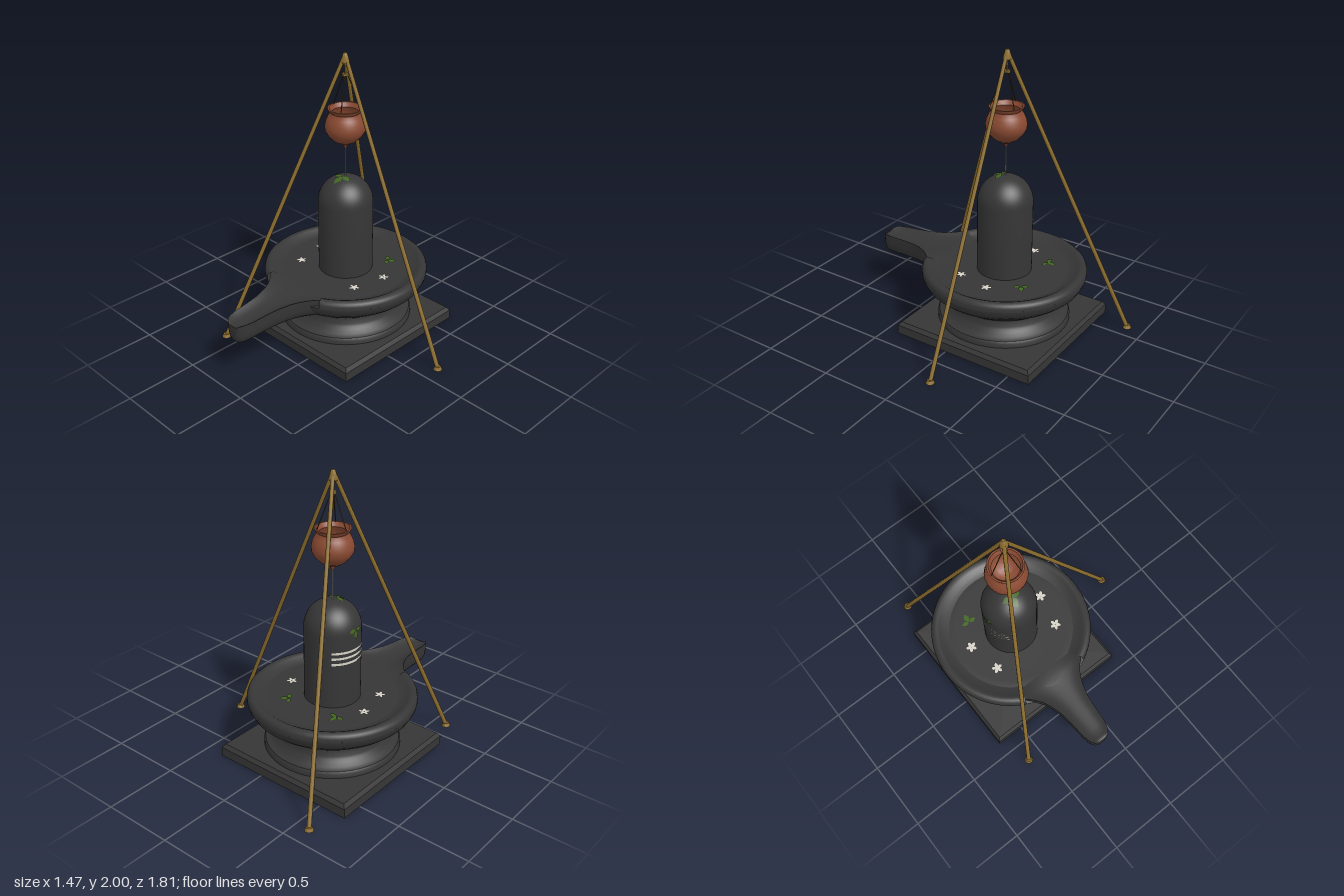
import * as THREE from 'three';
import { toCreasedNormals } from 'three/addons/utils/BufferGeometryUtils.js';

const mat = (name, color, extra = {}) => {
  const m = new THREE.MeshStandardMaterial({ color, ...extra });
  m.name = name;
  return m;
};
const DS = { side: THREE.DoubleSide };

export function createModel() {
  const stone = mat('dark stone', 0x363636, DS);
  const clay = mat('terracotta', 0x8a4a32);
  const brass = mat('brass', 0x8c6d2e);
  const rope = mat('rope', 0x4a3a22);
  const water = mat('water', 0xa4abb0);
  const leafGreen = mat('leaf green', 0x41661f, DS);
  const white = mat('petal white', 0xd6d2c6, DS);

  const root = new THREE.Group();
  root.name = 'shrine';
  const g = new THREE.Group(); // everything is built around the pillar axis
  g.name = 'shrineParts';
  g.position.set(-0.168, 0, -0.125);
  root.add(g);

  const add = (name, geo, material, parent = g) => {
    const m = new THREE.Mesh(geo, material);
    m.name = name;
    parent.add(m);
    return m;
  };
  const V = (x, y, z) => new THREE.Vector3(x, y, z);
  const lathe = (pts, seg = 64, start = 0, len = Math.PI * 2) =>
    toCreasedNormals(new THREE.LatheGeometry(pts.map(p => new THREE.Vector2(...p)), seg, start, len), 0.7);
  const rod = (name, a, b, r0, r1, material, sides = 8) => {
    const m = add(name, new THREE.CylinderGeometry(r1, r0, a.distanceTo(b), sides), material);
    m.position.copy(a).lerp(b, 0.5);
    m.quaternion.setFromUnitVectors(V(0, 1, 0), b.clone().sub(a).normalize());
    return m;
  };

  // Square slab with a chamfered top
  add('baseSlab', new THREE.BoxGeometry(1.06, 0.065, 1.06), stone).position.y = 0.0325;
  const chamfer = new THREE.CylinderGeometry(0.51 * Math.SQRT2, 0.53 * Math.SQRT2, 0.025, 4);
  chamfer.rotateY(Math.PI / 4);
  add('slabChamfer', toCreasedNormals(chamfer, 0.3), stone).position.y = 0.0775;

  // Round stepped pedestal
  add('pedestal', lathe([[0.46, 0.085], [0.46, 0.12], [0.45, 0.135], [0.415, 0.145], [0.395, 0.17],
    [0.385, 0.185], [0.375, 0.2], [0.37, 0.25], [0.37, 0.28]]), stone);

  // Basin: bowl and floor all round, rim left open at the spout
  add('basinBowl', lathe([[0.36, 0.25], [0.385, 0.255], [0.4, 0.275], [0.44, 0.305], [0.5, 0.335],
    [0.54, 0.37], [0.562, 0.41], [0.567, 0.435]]), stone);
  add('basinFloor', lathe([[0.567, 0.435], [0.5, 0.452], [0.4, 0.45], [0, 0.45]]), stone);
  const gap = 0.47;
  add('basinRim', lathe([[0.567, 0.43], [0.567, 0.455], [0.56, 0.475], [0.545, 0.486], [0.525, 0.487],
    [0.505, 0.478], [0.48, 0.46], [0.44, 0.451]], 64, gap, Math.PI * 2 - 2 * gap), stone);

  // Spout lofted along z: [z, half width, top, bottom, channel depth]
  const stations = [
    [0.40, 0.29, 0.455, 0.33, 0.003], [0.45, 0.265, 0.478, 0.32, 0.024], [0.49, 0.24, 0.484, 0.312, 0.034],
    [0.53, 0.2, 0.481, 0.31, 0.036], [0.58, 0.163, 0.476, 0.308, 0.037], [0.64, 0.135, 0.472, 0.306, 0.038],
    [0.72, 0.112, 0.466, 0.303, 0.038], [0.82, 0.1, 0.459, 0.3, 0.036], [0.92, 0.093, 0.452, 0.296, 0.034],
    [0.97, 0.083, 0.448, 0.293, 0.03], [1.0, 0.07, 0.445, 0.296, 0.022], [1.015, 0.055, 0.438, 0.31, 0.012],
    [1.024, 0.035, 0.425, 0.33, 0.004]];
  const N = 14, pos = [], idx = [], ring = 2 * N;
  for (const [z, w, t, b, d] of stations) {
    for (let j = 0; j < N; j++) {
      const u = 1 - 2 * j / N;
      pos.push(u * w, t - d * (1 - Math.abs(u) ** 2.5), z);
    }
    for (let j = 0; j < N; j++) {
      const a = Math.PI * (1 + j / N), c = Math.cos(a);
      const e = t - 0.015;
      pos.push(w * Math.sign(c) * Math.abs(c) ** 0.7, j ? e - (e - b) * Math.abs(Math.sin(a)) ** 0.7 : t, z);
    }
  }
  for (let i = 0; i < stations.length - 1; i++)
    for (let j = 0; j < ring; j++) {
      const a = i * ring + j, b = i * ring + (j + 1) % ring;
      idx.push(a, b, b + ring, a, b + ring, a + ring);
    }
  const last = (stations.length - 1) * ring;
  for (let j = 1; j < ring - 1; j++) idx.push(last, last + j, last + j + 1);
  const spout = new THREE.BufferGeometry();
  spout.setAttribute('position', new THREE.Float32BufferAttribute(pos, 3));
  spout.setIndex(idx);
  add('spout', toCreasedNormals(spout, 0.8), stone);

  // Domed pillar
  const R = 0.188, domeY = 0.957;
  const pillar = [[R, 0.44], [R, 0.7]];
  for (let i = 0; i <= 14; i++) {
    const a = i / 14 * Math.PI / 2;
    pillar.push([R * Math.cos(a), domeY + R * Math.sin(a)]);
  }
  add('pillar', lathe(pillar, 48), stone);

  // Three painted bands on the pillar's -x side
  [0.77, 0.81, 0.848].forEach(y => {
    add('ashBand', new THREE.CylinderGeometry(R + 0.004, R + 0.004, 0.016, 24, 1, true,
      Math.PI * 1.5 - 0.92, 1.84), white).position.y = y;
  });

  // Point on the pillar skin, by angle round the axis and distance down from the crown
  const onPillar = (phi, s) => {
    const r = R + 0.005, q = Math.PI / 2 * r;
    if (s > q) return V(r * Math.cos(phi), domeY - (s - q), r * Math.sin(phi));
    return V(r * Math.sin(s / r) * Math.cos(phi), domeY + r * Math.cos(s / r), r * Math.sin(s / r) * Math.sin(phi));
  };
  // Three-lobed leaf laid on a surface by a mapping (a, b) -> point
  const leaf = (name, dir, size, place) => {
    const grp = new THREE.Group();
    grp.name = name;
    g.add(grp);
    [-1, 0, 1].forEach(k => {
      const geo = new THREE.PlaneGeometry(1, 1, 2, 8), p = geo.attributes.position;
      const ang = dir + k * 1.5, len = size * (k ? 0.88 : 1.05);
      for (let i = 0; i < p.count; i++) {
        const f = p.getY(i) + 0.5;
        const l = (0.06 + f) * len, w = p.getX(i) * len * 0.58 * Math.sin(Math.PI * f ** 0.85);
        const q = place(l * Math.cos(ang) - w * Math.sin(ang), l * Math.sin(ang) + w * Math.cos(ang));
        p.setXYZ(i, q.x, q.y, q.z);
      }
      geo.computeVertexNormals();
      add('leaflet', geo, leafGreen, grp);
    });
  };
  const onFloor = (x, z) => (a, b) => V(x + a, 0.457, z - b);
  leaf('floorLeafRight', 1.5, 0.06, onFloor(-0.212, -0.215));
  leaf('floorLeafLeft', 0.6, 0.06, onFloor(0.17, -0.24));
  leaf('crownLeaf', Math.PI / 2, 0.075, (a, b) => onPillar(Math.atan2(b + 0.03, a), Math.hypot(a, b + 0.03)));
  leaf('sideLeaf', Math.PI / 2, 0.06, (a, b) => onPillar(Math.PI + a / R, 0.275 + b));

  // Five-petalled flowers on the basin floor
  [[-0.309, -0.055], [0.309, -0.055], [-0.26, 0.18], [0.26, 0.18]].forEach(([x, z], n) => {
    const flower = new THREE.Group();
    flower.name = 'flower';
    flower.position.set(x, 0.457, z);
    g.add(flower);
    for (let i = 0; i < 5; i++) {
      const petal = new THREE.CircleGeometry(0.011, 10);
      petal.rotateX(-Math.PI / 2).scale(1.7, 1, 1).translate(0.02, 0, 0).rotateY(i * Math.PI * 0.4 + n * 0.5 + 0.3);
      add('petal', petal, white, flower);
    }
  });

  // Tripod
  for (let i = 0; i < 3; i++) {
    const a = i * Math.PI * 2 / 3, c = Math.cos(a), s = Math.sin(a);
    rod('tripodLeg', V(0.865 * c, 0.012, 0.865 * s), V(0.012 * c, 1.96, 0.012 * s), 0.015, 0.013, brass);
    add('tripodFoot', new THREE.CylinderGeometry(0.02, 0.031, 0.024, 8), brass)
      .position.set(0.868 * c, 0.012, 0.868 * s);
    // Pot ropes
    const b = a + Math.PI;
    rod('potRope', V(0.107 * Math.cos(b), 1.625, 0.107 * Math.sin(b)),
      V(0.012 * Math.cos(b), 1.86, 0.012 * Math.sin(b)), 0.0035, 0.0035, rope, 6);
  }
  add('tripodCap', lathe([[0, 1.935], [0.028, 1.935], [0.028, 1.948], [0.015, 1.995], [0.01, 2], [0, 2]], 12), brass);
  rod('hangerStem', V(0, 1.85, 0), V(0, 1.94, 0), 0.006, 0.006, brass);
  rod('hangerDisc', V(0, 1.849, 0), V(0, 1.864, 0), 0.021, 0.021, brass, 12);

  // Hanging pot, hollow, with a drip hole and falling water
  add('pot', lathe([[0, 1.352], [0.01, 1.352], [0.016, 1.37], [0.045, 1.385], [0.082, 1.408], [0.115, 1.443],
    [0.133, 1.475], [0.137, 1.505], [0.13, 1.54], [0.115, 1.572], [0.1, 1.592], [0.098, 1.602], [0.113, 1.615],
    [0.117, 1.629], [0.105, 1.629], [0.088, 1.6], [0.105, 1.57], [0.125, 1.505], [0.105, 1.445],
    [0.06, 1.41], [0, 1.395]], 40), clay);
  rod('waterThread', V(0, 1.14, 0), V(0, 1.355, 0), 0.004, 0.004, water, 6);

  return root;
}
